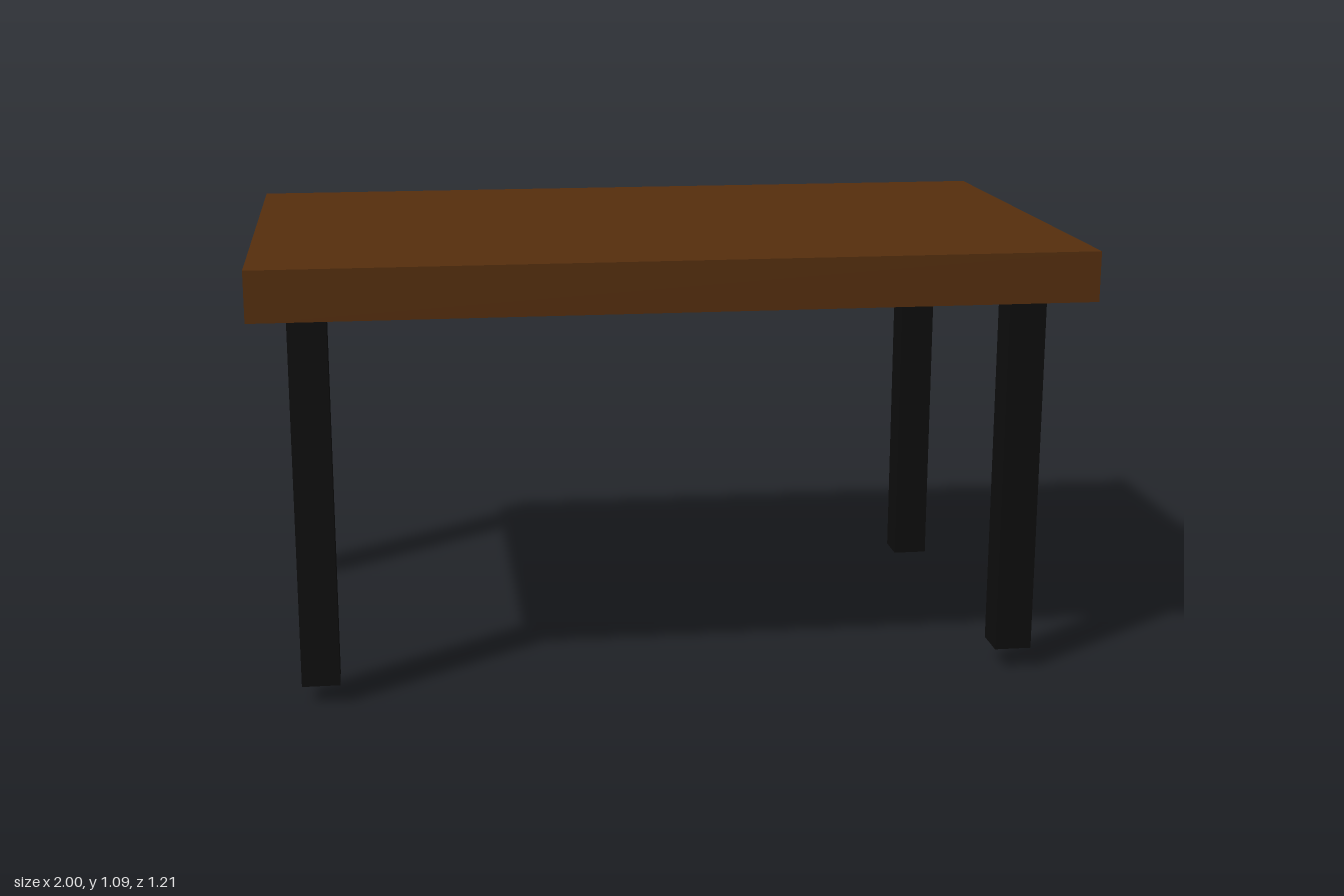
import * as THREE from 'three';

export function createModel() {
  const model = new THREE.Group();
  const wood = new THREE.MeshStandardMaterial({ color: 0x552e0d });
  const black = new THREE.MeshStandardMaterial({ color: 0x0d0d0d });

  function box(name, size, position, material) {
    const mesh = new THREE.Mesh(new THREE.BoxGeometry(...size), material);
    mesh.name = name;
    mesh.position.set(...position);
    model.add(mesh);
  }

  // Thick slab top
  box('tableTop', [2, 0.122, 1.21], [0, 1.024, 0], wood);

  // Four equal square legs, set slightly unevenly: name, x, foot height, z
  const legWidth = 0.092, legHeight = 0.958;
  const legs = [
    ['frontLeftLeg', 0.861, 0.055, 0.451],
    ['frontRightLeg', -0.866, 0.047, 0.466],
    ['backLeftLeg', 0.841, 0, -0.518],
    ['backRightLeg', -0.905, 0.033, -0.546],
  ];
  for (const [name, x, foot, z] of legs) {
    box(name, [legWidth, legHeight, legWidth], [x, foot + legHeight / 2, z], black);
  }
  return model;
}
